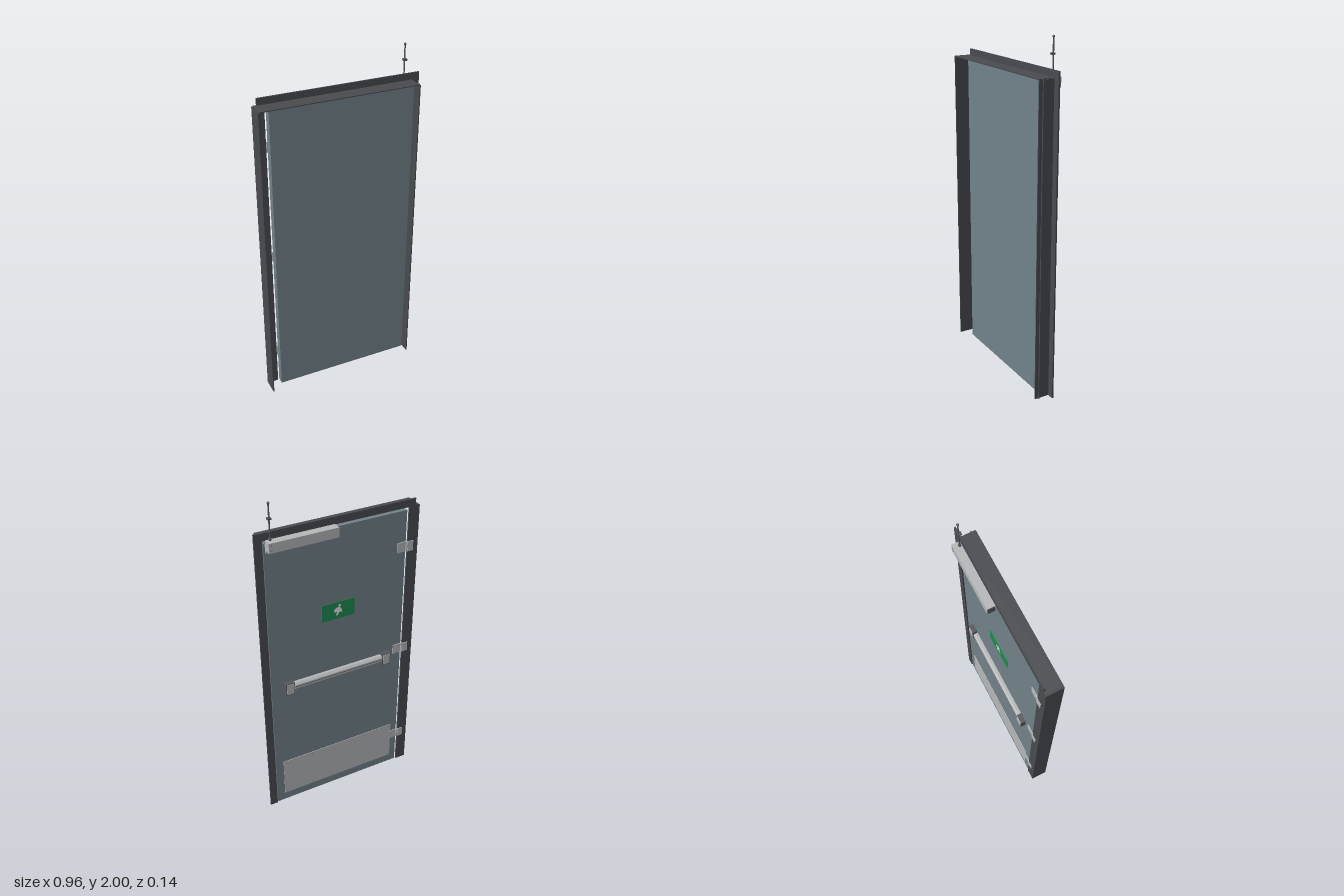
import * as THREE from 'three';

const mat = (name, color) => {
  const m = new THREE.MeshStandardMaterial({ color });
  m.name = name;
  return m;
};

export function createModel() {
  const frameMat = mat('dark frame grey', 0x494b50);
  const doorMat = mat('blue grey door', 0x72828a);
  const steel = mat('light steel', 0xb6b8b9);
  const capMat = mat('dark cap grey', 0x55585c);
  const green = mat('sign green', 0x1f8a52);
  const white = mat('sign white', 0xe4e8e6);

  const model = new THREE.Group();
  model.name = 'fireExitDoor';
  const add = (name, geo, material, parent = model) => {
    const m = new THREE.Mesh(geo, material);
    m.name = name;
    parent.add(m);
    return m;
  };
  // box given by its minimum and maximum on each axis
  const box = (name, material, x0, x1, y0, y1, z0, z1, parent = model) => {
    const m = add(name, new THREE.BoxGeometry(x1 - x0, y1 - y0, z1 - z0), material, parent);
    m.position.set((x0 + x1) / 2, (y0 + y1) / 2, (z0 + z1) / 2);
    return m;
  };

  // folded sheet frame: each member is a deep reveal plus a flange
  const frame = new THREE.Group();
  frame.name = 'frame';
  model.add(frame);
  box('hingeJambReveal', frameMat, -0.48, -0.474, 0, 1.793, -0.025, 0.072, frame);
  box('hingeJambFlange', frameMat, -0.474, -0.415, 0, 1.793, -0.025, -0.016, frame);
  box('strikeJambReveal', frameMat, 0.435, 0.441, 0, 1.793, -0.025, 0.072, frame);
  box('strikeJambFlange', frameMat, 0.441, 0.48, 0, 1.835, -0.025, -0.016, frame);
  box('strikeJambFin', frameMat, 0.441, 0.449, 0, 1.793, 0.048, 0.051, frame);
  box('headReveal', frameMat, -0.474, 0.435, 1.792, 1.797, -0.025, 0.072, frame);
  box('headFlange', frameMat, -0.455, 0.441, 1.797, 1.835, -0.025, -0.016, frame);

  // door leaf
  box('doorLeaf', doorMat, -0.406, 0.43, 0.002, 1.775, -0.02, 0.022);

  // hinges: two leaves and a knuckle
  for (const y of [0.225, 0.89, 1.56]) {
    const hinge = new THREE.Group();
    hinge.name = 'hinge';
    model.add(hinge);
    box('doorLeafPlate', steel, -0.405, -0.352, y - 0.03, y + 0.03, -0.024, -0.02, hinge);
    box('jambLeafPlate', steel, -0.45, -0.415, y - 0.03, y + 0.03, -0.029, -0.025, hinge);
    const knuckle = add('knuckle', new THREE.CylinderGeometry(0.005, 0.005, 0.06, 12), steel, hinge);
    knuckle.position.set(-0.41, y, -0.023);
  }

  // kick plate with screws along its rim
  box('kickPlate', steel, -0.364, 0.381, 0.055, 0.31, -0.023, -0.02);
  const screw = (x, y, z) => {
    const s = add('screw', new THREE.CylinderGeometry(0.003, 0.003, 0.002, 8), capMat);
    s.rotation.x = Math.PI / 2;
    s.position.set(x, y, z);
  };
  for (let i = 0; i < 5; i++) {
    for (const y of [0.067, 0.298]) screw(-0.352 + i * 0.18, y, -0.0235);
  }

  // push bar: chamfered rail between two end caps
  const profile = new THREE.Shape([
    [0.02, 0.838], [0.036, 0.838], [0.047, 0.85], [0.047, 0.872], [0.036, 0.884], [0.02, 0.884],
  ].map(([z, y]) => new THREE.Vector2(z, y)));
  const bar = add('pushBar', new THREE.ExtrudeGeometry(profile, { depth: 0.57, bevelEnabled: false }), steel);
  bar.rotation.y = Math.PI / 2;
  bar.position.x = -0.275;
  bar.position.z = 0;
  for (const x of [-0.295, 0.327]) {
    box('barEndCap', capMat, x - 0.027, x + 0.027, 0.82, 0.896, -0.049, -0.02);
    box('barEndCapFace', steel, x - 0.022, x + 0.022, 0.825, 0.891, -0.0515, -0.049);
  }
  box('barGroove', capMat, -0.268, 0.3, 0.859, 0.863, -0.0478, -0.047);

  // exit sign with a simple walking figure
  const sign = new THREE.Group();
  sign.name = 'exitSign';
  model.add(sign);
  box('signPlate', green, -0.09, 0.112, 1.22, 1.325, -0.023, -0.02, sign);
  const figure = new THREE.Shape([
    [-0.028, -0.008], [-0.008, -0.012], [-0.014, -0.032], [-0.004, -0.034], [0.006, -0.014], [0.026, -0.018],
    [0.022, 0], [0.012, 0.018], [-0.012, 0.018], [-0.024, 0.006],
  ].map(([x, y]) => new THREE.Vector2(x, y)));
  const body = add('signFigure', new THREE.ShapeGeometry(figure), white, sign);
  const head = add('signFigureHead', new THREE.CircleGeometry(0.008, 16), white, sign);
  body.position.set(0.012, 1.274, -0.0235);
  head.position.set(0.004, 1.302, -0.0235);
  body.rotation.y = head.rotation.y = Math.PI;

  // door closer
  box('closerBody', steel, 0.03, 0.42, 1.74, 1.795, -0.071, -0.025);
  box('closerBackPlate', steel, 0.06, 0.42, 1.722, 1.774, -0.025, -0.02);
  box('closerEndCap', capMat, 0.028, 0.03, 1.744, 1.791, -0.068, -0.028);
  for (const y of [1.753, 1.782]) screw(0.405, y, -0.0715);

  // upright cable rod with a clip and a rounded tip
  const rod = add('cableRod', new THREE.CylinderGeometry(0.004, 0.004, 0.2, 10), capMat);
  rod.position.set(0.397, 1.893, -0.036);
  const tip = add('rodTip', new THREE.SphereGeometry(0.007, 12, 8), capMat);
  tip.position.set(0.397, 1.993, -0.036);
  box('rodClip', capMat, 0.386, 0.406, 1.904, 1.914, -0.042, -0.022);
  const base = add('rodBase', new THREE.CylinderGeometry(0.008, 0.008, 0.012, 12), capMat);
  base.position.set(0.397, 1.8, -0.036);

  return model;
}
